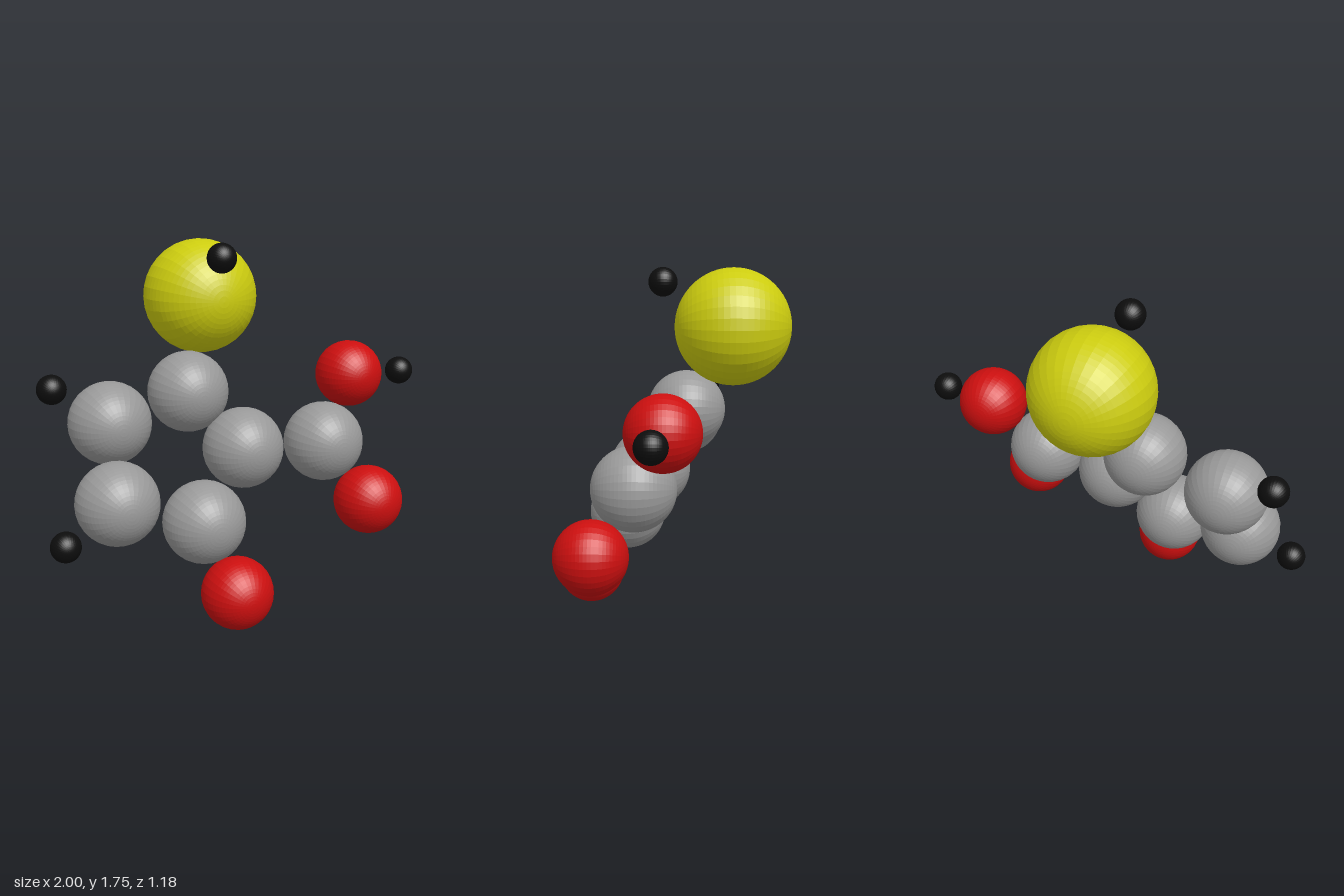
import * as THREE from 'three';

// Ball types: radius and colour
const KINDS = {
  carbon: { radius: 0.198, color: 0x999999 },
  oxygen: { radius: 0.17, color: 0xcc0f0f },
  sulfur: { radius: 0.285, color: 0xcccc0f },
  hydrogen: { radius: 0.071, color: 0x0d0d0d },
};

// Ball centres, grouped by type
const ATOMS = {
  sulfur: [[-0.05, 1.465, -0.305]],
  // five-sided ring, then the side-group carbon
  carbon: [
    [-0.22, 1.035, -0.08], [-0.625, 0.925, -0.075], [-0.665, 0.59, 0.115],
    [-0.28, 0.475, 0.23], [-0.01, 0.77, 0.1], [0.41, 0.765, 0.16],
  ],
  oxygen: [[0.64, 1.063, 0.022], [0.565, 0.49, 0.345], [-0.2, 0.175, 0.42]],
  hydrogen: [
    [-0.09, 1.68, 0.037], [-0.863, 1.083, -0.2],
    [-0.93, 0.44, 0.16], [0.928, 1.06, 0.063],
  ],
};

export function createModel() {
  const model = new THREE.Group();
  model.name = 'molecule';

  for (const [kind, centres] of Object.entries(ATOMS)) {
    const { radius, color } = KINDS[kind];
    // Faceted ball with its poles along z
    const geometry = new THREE.SphereGeometry(radius, 32, 32).rotateX(Math.PI / 2);
    const material = new THREE.MeshStandardMaterial({ color, flatShading: true });
    centres.forEach((centre, i) => {
      const atom = new THREE.Mesh(geometry, material);
      atom.name = `${kind}Atom${i + 1}`;
      atom.position.set(...centre);
      model.add(atom);
    });
  }
  return model;
}
